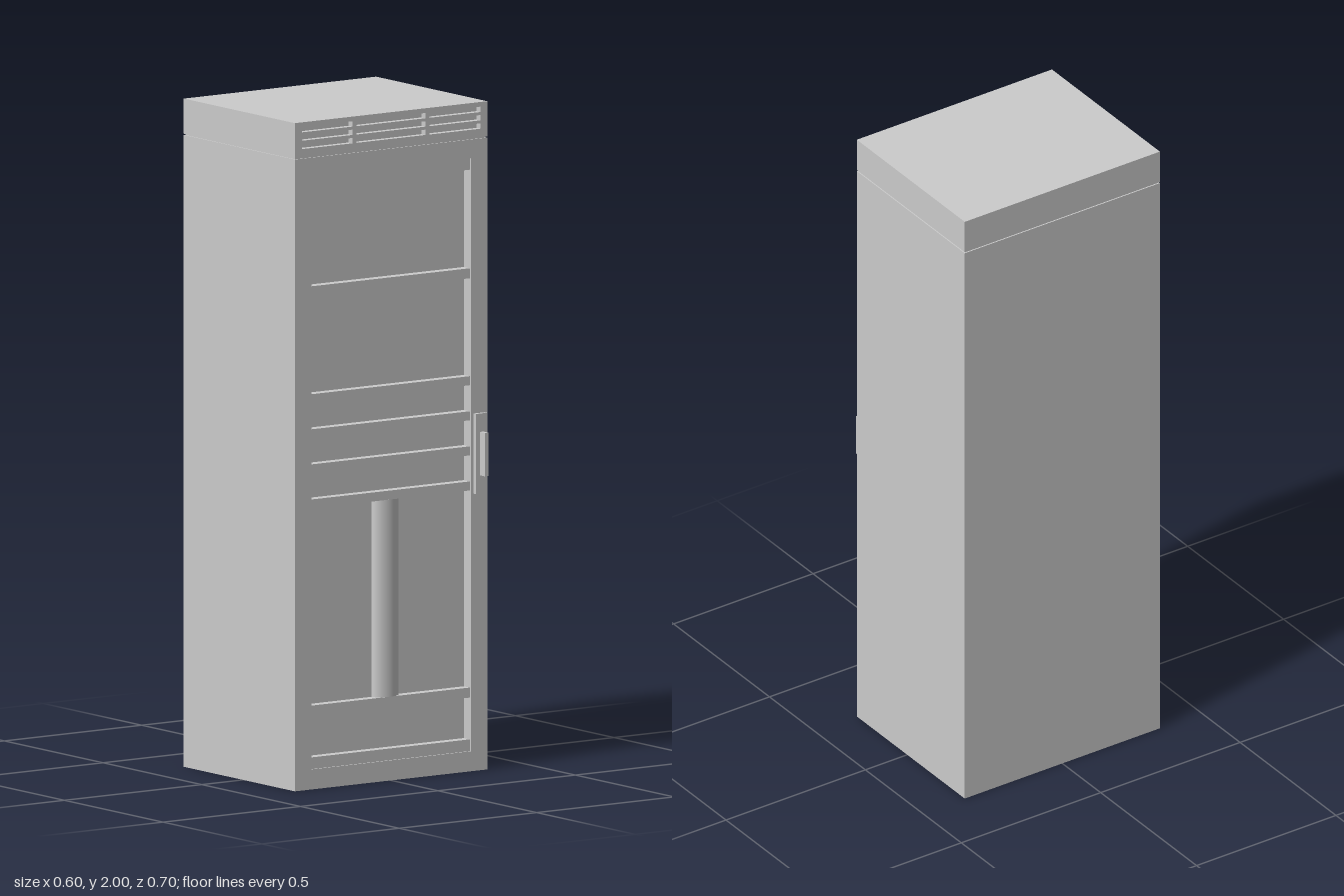
import * as THREE from 'three';

const FRONT = 0.263, BACK = -0.3, HALF = 0.35; // the door side faces +x
const SEAM = 1.895;

export function createModel() {
  const root = new THREE.Group();
  const material = new THREE.MeshStandardMaterial({ color: 0xcccccc });

  const add = (name, geometry) => {
    const mesh = new THREE.Mesh(geometry, material);
    mesh.name = name;
    root.add(mesh);
    return mesh;
  };

  // Box given by its limits on each axis
  const box = (name, x0, x1, y0, y1, z0, z1) =>
    add(name, new THREE.BoxGeometry(x1 - x0, y1 - y0, z1 - z0)
      .translate((x0 + x1) / 2, (y0 + y1) / 2, (z0 + z1) / 2));

  const trace = (path, a0, a1, b0, b1) => {
    path.moveTo(a0, b0);
    path.lineTo(a1, b0);
    path.lineTo(a1, b1);
    path.lineTo(a0, b1);
    path.closePath();
    return path;
  };

  // Upright plate facing +x, with rectangular openings [z0, z1, y0, y1]
  const plate = (name, x0, x1, y0, y1, openings) => {
    const shape = trace(new THREE.Shape(), -HALF, HALF, y0, y1);
    for (const [z0, z1, b0, b1] of openings) {
      shape.holes.push(trace(new THREE.Path(), -z1, -z0, b0, b1));
    }
    const geometry = new THREE.ExtrudeGeometry(shape, { depth: x1 - x0, bevelEnabled: false });
    return add(name, geometry.rotateY(Math.PI / 2).translate(x0, 0, 0));
  };

  // Cabinet body and door frame
  const recess = FRONT - 0.035;
  box('cabinetBody', BACK, recess, 0, SEAM - 0.004, -HALF, HALF);
  plate('doorFrame', recess, FRONT, 0, SEAM - 0.004, [[-0.29, 0.29, 0.06, 1.835]]);

  // Bars dividing the recessed front into compartments
  const bars = [
    [0.06, 0.095], [0.22, 0.25], [0.84, 0.867], [0.945, 0.972],
    [1.05, 1.077], [1.155, 1.182], [1.475, 1.505], [1.8, 1.835],
  ];
  for (const [y0, y1] of bars) {
    box('dividerBar', recess, FRONT - 0.005, y0, y1, -0.29, 0.29);
  }

  // Rounded column in the tall lower compartment
  add('roundedColumn', new THREE.CylinderGeometry(0.047, 0.047, 0.59, 32, 1, false, 0, Math.PI)
    .scale(0.65, 1, 1).translate(recess, 0.545, 0));

  // Top section above a narrow seam, with a slotted front
  box('seam', BACK + 0.004, FRONT - 0.004, SEAM - 0.004, SEAM, -HALF + 0.004, HALF - 0.004);
  const slotBack = FRONT - 0.02;
  box('topSection', BACK, slotBack, SEAM, 2, -HALF, HALF);
  const slots = [];
  for (const [z0, z1] of [[-0.325, -0.14], [-0.125, 0.125], [0.14, 0.325]]) {
    for (const y of [1.92, 1.945, 1.97]) slots.push([z0, z1, y, y + 0.016]);
  }
  plate('ventGrille', slotBack, FRONT, SEAM, 2, slots);

  // Door handle
  box('handlePlate', FRONT, 0.275, 0.83, 1.07, -0.341, -0.3);
  box('handleGrip', 0.275, 0.3, 0.885, 1.015, -0.327, -0.315);

  return root;
}
